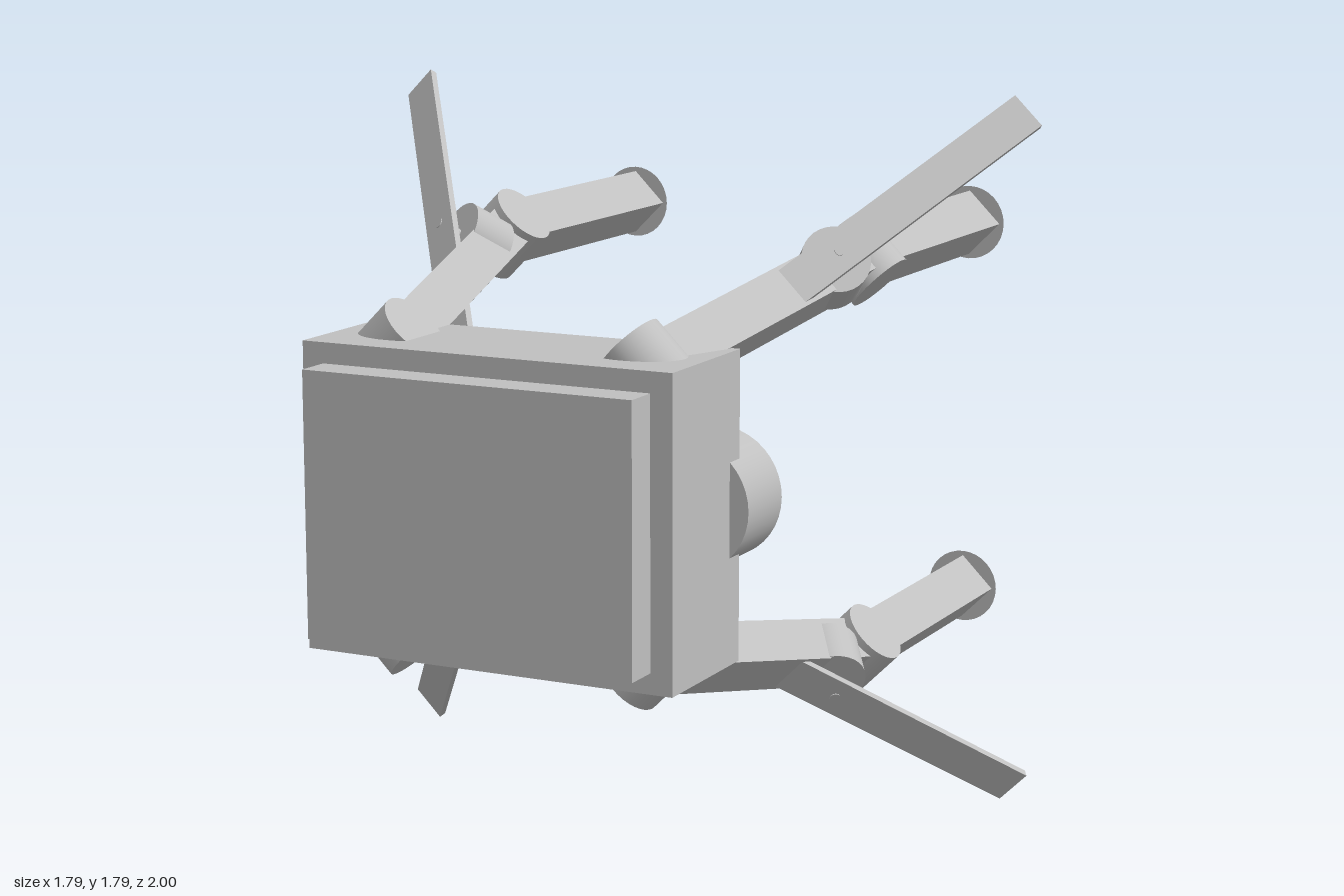
import * as THREE from 'three';

const CY = 0.895; // height of the body centre

export function createModel() {
  const model = new THREE.Group();
  model.name = 'satelliteRobot';
  const grey = new THREE.MeshStandardMaterial({ color: 0xc0c0c0 });
  grey.name = 'light grey';

  const add = (parent, name, geometry, x, y, z) => {
    const mesh = new THREE.Mesh(geometry, grey);
    mesh.name = name;
    mesh.position.set(x, y, z);
    parent.add(mesh);
    return mesh;
  };

  // Box body, front plate and the rear drum offset to the left side
  add(model, 'body', new THREE.BoxGeometry(0.96, 0.74, 0.35), 0, CY + 0.005, 0.735);
  add(model, 'frontPlate', new THREE.BoxGeometry(0.85, 0.64, 0.1), 0, CY + 0.005, 0.95);
  add(model, 'rearDrum', new THREE.CylinderGeometry(0.158, 0.158, 0.185, 40).rotateX(Math.PI / 2),
    0.37, CY + 0.005, 0.52);

  // Beam between two points in an arm's own x-z plane
  const beam = (parent, name, [x0, z0], [x1, z1], width, thick) => {
    const dx = x1 - x0, dz = z1 - z0;
    const mesh = add(parent, name, new THREE.BoxGeometry(thick, width, Math.hypot(dx, dz)),
      (x0 + x1) / 2, 0, (z0 + z1) / 2);
    mesh.rotation.y = Math.atan2(dx, dz);
  };

  // Four identical arms on the diagonals: local x points outward from the body axis
  for (let i = 0; i < 4; i++) {
    const arm = new THREE.Group();
    arm.name = ['upperLeftArm', 'upperRightArm', 'lowerRightArm', 'lowerLeftArm'][i];
    arm.position.y = CY + 0.003;
    arm.rotation.z = Math.PI / 4 + i * Math.PI / 2;
    model.add(arm);

    const joint = () => new THREE.CylinderGeometry(0.085, 0.085, 0.16, 32);
    add(arm, 'shoulderJoint', joint(), 0.48, 0, 0.735);
    beam(arm, 'upperArm', [0.48, 0.735], [0.7, -0.06], 0.12, 0.12);
    add(arm, 'elbowJoint', joint(), 0.705, 0, -0.09);
    beam(arm, 'forearm', [0.705, -0.09], [0.705, -0.85], 0.12, 0.12);
    add(arm, 'tipCone', new THREE.ConeGeometry(0.097, 0.16, 32).rotateX(-Math.PI / 2), 0.705, 0, -0.92);

    // Swivel below the long blade, with a pin through the blade
    const swivel = add(arm, 'bladeSwivel',
      new THREE.CylinderGeometry(0.085, 0.085, 0.115, 32).rotateX(Math.PI / 2), 0.7, 0, 0.07);
    swivel.rotation.y = Math.PI / 4;
    const pin = add(arm, 'bladePin',
      new THREE.CylinderGeometry(0.013, 0.013, 0.1, 16).rotateX(Math.PI / 2), 0.747, 0, 0.122);
    pin.rotation.y = Math.PI / 4;
    beam(arm, 'blade', [0.32, 0.6], [1.212, -0.285], 0.1, 0.018);
  }
  return model;
}
